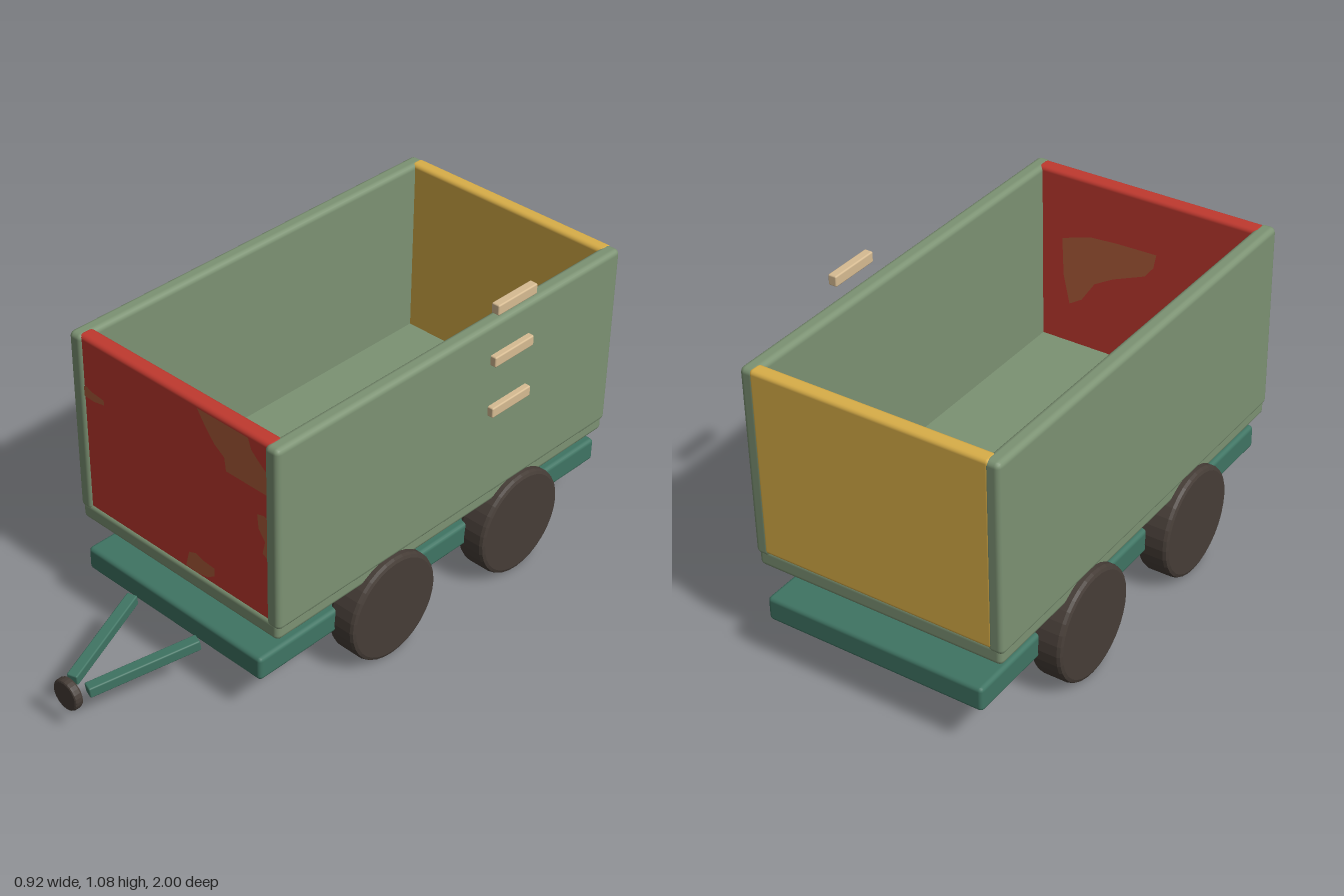
import * as THREE from 'three';
import { RoundedBoxGeometry } from 'three/addons/geometries/RoundedBoxGeometry.js';

const mat = (name, color, extra = {}) => {
  const m = new THREE.MeshStandardMaterial({ color, ...extra });
  m.name = name;
  return m;
};

export function createModel() {
  const green = mat('sage green', 0x7c9273);
  const red = mat('red', 0xc0392f);
  const yellow = mat('yellow', 0xd9ae48);
  const teal = mat('teal', 0x3f7463);
  const tyre = mat('dark rubber', 0x463d37);
  const wood = mat('pale wood', 0xd6bb92);
  const rust = mat('rust', 0xae5d3a, { side: THREE.DoubleSide });

  const model = new THREE.Group();
  model.name = 'trailer';

  const add = (name, geometry, material) => {
    const mesh = new THREE.Mesh(geometry, material);
    mesh.name = name;
    model.add(mesh);
    return mesh;
  };

  // Softened box given by its extents on each axis
  const box = (name, material, [x0, x1], [y0, y1], [z0, z1], radius) => {
    const geometry = new RoundedBoxGeometry(x1 - x0, y1 - y0, z1 - z0, 2, radius);
    const mesh = add(name, geometry, material);
    mesh.position.set((x0 + x1) / 2, (y0 + y1) / 2, (z0 + z1) / 2);
    return mesh;
  };

  // Disc with softened rims, lying along the y axis
  const disc = (radius, width, bevel, sides) => {
    const h = width / 2;
    const profile = [
      [0, -h], [radius - bevel, -h], [radius - bevel, -h],
      [radius - bevel * 0.3, -h + bevel * 0.3], [radius, -h + bevel], [radius, -h + bevel],
      [radius, h - bevel], [radius, h - bevel], [radius - bevel * 0.3, h - bevel * 0.3],
      [radius - bevel, h], [radius - bevel, h], [0, h],
    ].map(([r, y]) => new THREE.Vector2(r, y));
    // Duplicate points are dropped: flat shading is handled by the tight bevel
    const clean = profile.filter((p, i) => i === 0 || !p.equals(profile[i - 1]));
    const geometry = new THREE.LatheGeometry(clean, sides).toNonIndexed();
    geometry.computeVertexNormals();
    return geometry;
  };

  // Chassis and cargo box
  box('chassis', teal, [-0.383, 0.383], [0.158, 0.242], [-1.0, 0.567], 0.014);
  box('floor', green, [-0.43, 0.43], [0.323, 0.388], [-0.968, 0.54], 0.018);
  box('leftWall', green, [0.382, 0.437], [0.365, 1.012], [-0.972, 0.542], 0.018);
  box('rightWall', green, [-0.437, -0.382], [0.365, 1.012], [-0.972, 0.542], 0.018);
  box('frontPanel', red, [-0.405, 0.405], [0.375, 1.012], [0.478, 0.534], 0.014);
  box('rearPanel', yellow, [-0.405, 0.405], [0.375, 1.012], [-0.972, -0.922], 0.014);

  // Rust patches on the front panel
  const patch = (name, points, z) => {
    const shape = new THREE.Shape(points.map(([x, y]) => new THREE.Vector2(x, y)));
    add(name, new THREE.ShapeGeometry(shape), rust).position.z = z;
  };
  const outer = 0.536, inner = 0.476;
  patch('rustTop', [
    [0.11, 0.998], [0.316, 0.998], [0.328, 0.964], [0.356, 0.938], [0.4, 0.904],
    [0.4, 0.835], [0.224, 0.835], [0.218, 0.88], [0.178, 0.907], [0.141, 0.953],
  ], outer);
  patch('rustSide', [
    [-0.4, 0.83], [-0.374, 0.838], [-0.353, 0.829], [-0.299, 0.823],
    [-0.299, 0.806], [-0.345, 0.797], [-0.4, 0.8],
  ], outer);
  patch('rustEdge', [
    [0.348, 0.749], [0.374, 0.757], [0.4, 0.751], [0.4, 0.599],
    [0.368, 0.619], [0.379, 0.665], [0.353, 0.7],
  ], outer);
  patch('rustBottom', [
    [0.04, 0.392], [0.055, 0.45], [0.086, 0.461], [0.12, 0.45],
    [0.164, 0.447], [0.164, 0.418], [0.135, 0.398], [0.092, 0.389],
  ], outer);
  patch('rustInside', [
    [0.305, 0.775], [0.197, 0.81], [0.094, 0.817], [-0.05, 0.82], [-0.04, 0.77],
    [-0.01, 0.73], [0.111, 0.68], [0.18, 0.64], [0.23, 0.565], [0.277, 0.535], [0.3, 0.64],
  ], inner);

  // Ladder rungs beside the left wall
  for (const y of [0.7, 0.885, 1.069]) {
    box('rung', wood, [0.428, 0.458], [y - 0.018, y + 0.018], [-0.536, -0.358], 0.005);
  }

  // Four wheels
  const wheelGeometry = disc(0.186, 0.106, 0.014, 32).rotateZ(Math.PI / 2);
  for (const side of [-1, 1]) {
    for (const z of [0.065, -0.53]) {
      add('wheel', wheelGeometry, tyre).position.set(side * 0.407, 0.189, z);
    }
  }

  // Drawbar arms converging on the coupler
  for (const side of [-1, 1]) {
    const from = new THREE.Vector3(side * 0.147, 0.188, 0.594);
    const to = new THREE.Vector3(side * 0.034, 0.144, 0.94);
    const arm = add('drawbarArm', new RoundedBoxGeometry(0.037, 0.037, from.distanceTo(to), 2, 0.005), teal);
    arm.position.copy(from).lerp(to, 0.5);
    arm.lookAt(to);
  }
  const coupler = add('coupler', disc(0.053, 0.03, 0.007, 24).rotateX(Math.PI / 2), tyre);
  coupler.position.set(0, 0.14, 0.985);

  return model;
}
